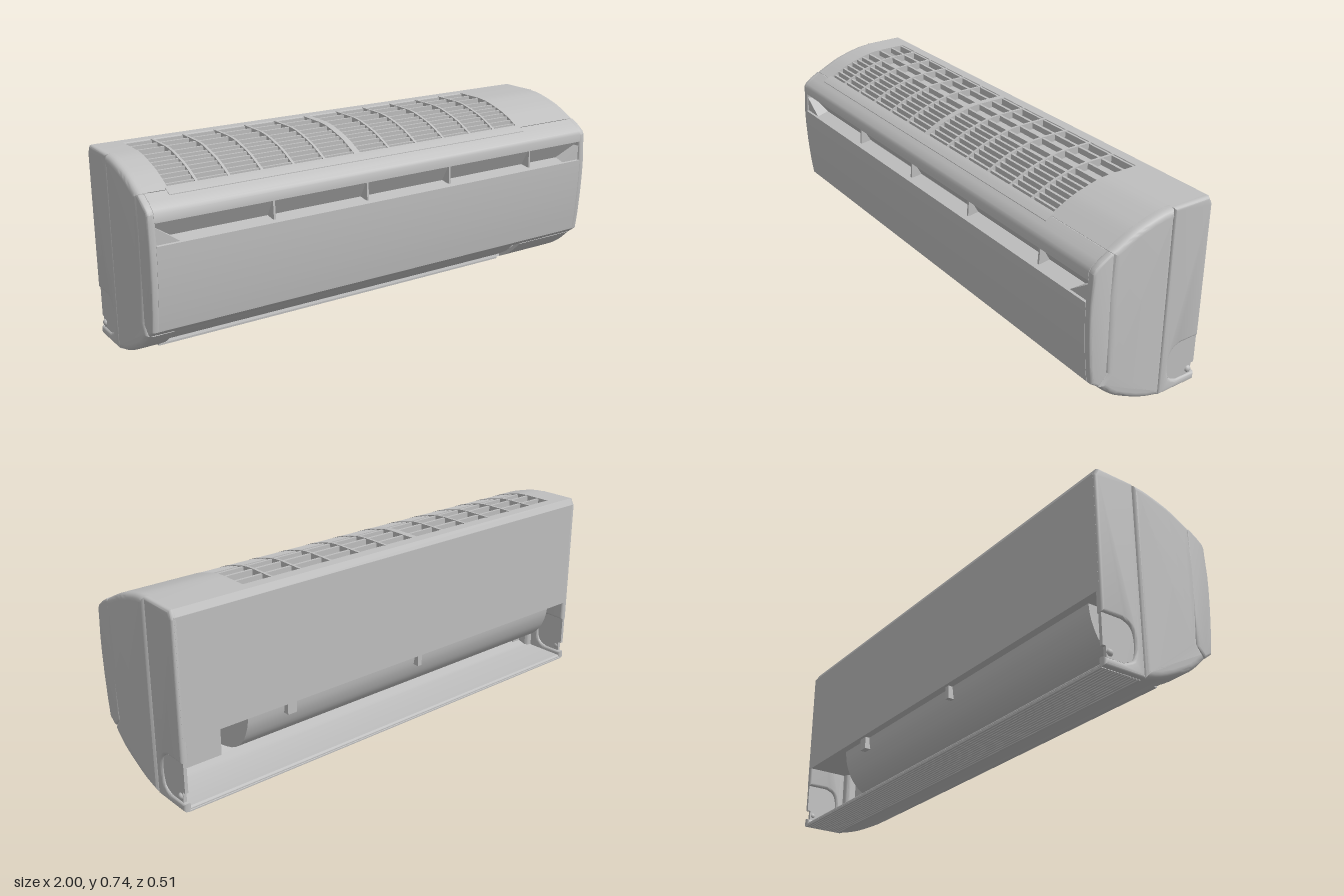
import * as THREE from 'three';
import { toCreasedNormals } from 'three/addons/utils/BufferGeometryUtils.js';

export function createModel() {
  const root = new THREE.Group();
  root.name = 'wallAirConditioner';
  const plastic = new THREE.MeshStandardMaterial({ color: 0xbfbfbf });
  plastic.name = 'grey plastic';

  const add = (name, geometry, parent = root) => {
    const mesh = new THREE.Mesh(geometry, plastic);
    mesh.name = name;
    parent.add(mesh);
    return mesh;
  };
  const group = (name) => {
    const g = new THREE.Group();
    g.name = name;
    root.add(g);
    return g;
  };

  // Extrudes a [z, y] outline along x from x0 to x1
  const prism = (points, x0, x1, bevel = 0) => {
    const shape = new THREE.Shape(points.map(([z, y]) => new THREE.Vector2(-z, y)));
    const geo = new THREE.ExtrudeGeometry(shape, {
      depth: x1 - x0 - 2 * bevel, bevelEnabled: bevel > 0, bevelSize: bevel,
      bevelThickness: bevel, bevelOffset: -bevel, bevelSegments: 4,
    });
    geo.translate(0, 0, x0 + bevel).rotateY(Math.PI / 2);
    return toCreasedNormals(geo, 0.5);
  };
  // Thick skin that follows a [z, y] line, thickened towards the core
  const skin = (points, t, x0, x1) => {
    const inner = points.map(([z, y]) => {
      const dz = -0.03 - z, dy = 0.37 - y, l = Math.hypot(dz, dy);
      return [z + (dz / l) * t, y + (dy / l) * t];
    });
    return prism([...points, ...inner.reverse()], x0, x1);
  };
  const smooth = (points, n) => new THREE.SplineCurve(points.map((p) => new THREE.Vector2(...p)))
    .getPoints(n).map((p) => [p.x, p.y]);
  const box = (name, x0, x1, y0, y1, z0, z1, parent) => {
    const m = add(name, new THREE.BoxGeometry(x1 - x0, y1 - y0, z1 - z0), parent);
    m.position.set((x0 + x1) / 2, (y0 + y1) / 2, (z0 + z1) / 2);
    return m;
  };

  const topArc = smooth([[-0.085, 0.74], [-0.03, 0.735], [0.05, 0.715], [0.1, 0.697], [0.175, 0.66]], 14);
  const lowArc = smooth([[0.2, 0.155], [0.15, 0.108], [0.1, 0.075], [0, 0.027], [-0.085, 0.003]], 14);
  const topY = (z) => {
    if (z <= topArc[0][0]) return 0.74;
    const i = Math.max(1, topArc.findIndex((p) => p[0] >= z));
    const [a, b] = [topArc[i - 1], topArc[i]];
    return a[1] + ((b[1] - a[1]) * (z - a[0])) / (b[0] - a[0]);
  };
  const gx0 = -0.89, gx1 = 0.69;

  // End walls with a rear cable cover on each side
  const frontEnd = [...topArc, [0.183, 0.5], [0.18, 0.4], [0.167, 0.2], ...lowArc];
  const notch = smooth([[-0.17, 0.19], [-0.137, 0.175], [-0.122, 0.14], [-0.122, 0.09], [-0.135, 0.052], [-0.17, 0.035]], 14);
  const rearEnd = [[-0.083, 0.74], [-0.24, 0.74], [-0.255, 0.71], [-0.255, 0.19], ...notch,
    [-0.255, 0.035], [-0.255, 0.003], [-0.083, 0.003]];
  const cover = [[-0.253, 0.19], ...notch, [-0.24, 0.035], [-0.24, 0.075], [-0.253, 0.075]];
  for (const s of [-1, 1]) {
    const span = (a, b) => (s > 0 ? [a, b] : [-b, -a]);
    const g = group(s > 0 ? 'leftEnd' : 'rightEnd');
    add('frontEndWall', prism(frontEnd, ...span(0.94, 1), 0.022), g);
    add('rearEndWall', prism(rearEnd, ...span(0.965, 0.996), 0.012), g);
    add('cableCover', prism(cover, ...span(0.975, 0.988)), g);
    const knob = add('coverKnob', new THREE.SphereGeometry(0.014, 16, 10), g);
    knob.position.set(s * 0.984, 0.055, -0.226);
  }

  // Casing skins: top, bottom, back
  const X = 0.978;
  add('topRearSkin', skin([[-0.255, 0.71], [-0.24, 0.74], [-0.2, 0.74]], 0.015, -X, X));
  const topLine = [[-0.2, 0.74], ...topArc];
  add('topSkinRight', skin(topLine, 0.015, -X, gx0));
  add('topSkinLeft', skin(topLine, 0.015, gx1, X));
  const mouth = lowArc.filter(([z]) => z > 0.045);
  const belly = [...lowArc.slice(mouth.length - 1), [-0.255, 0.006]];
  add('bottomSkin', skin(belly, 0.015, -X, X));
  add('lowerFrontSkinRight', skin(mouth, 0.015, -X, -0.9));
  add('lowerFrontSkinLeft', skin(mouth, 0.015, 0.7, X));
  box('backPanel', -0.985, 0.985, 0.27, 0.715, -0.255, -0.235);

  // Lengthwise ribs under the rear of the casing
  const ribs = group('bottomRibs');
  for (let i = 0; i < 13; i++) {
    const z = -0.092 - i * 0.0128;
    box('bottomRib', -X, X, 0, 0.012, z - 0.008, z, ribs);
  }

  // Fan duct, seen through the open lower back and the front outlet
  const scroll = smooth([[-0.225, 0.275], [-0.215, 0.21], [-0.18, 0.14], [-0.11, 0.09], [0.035, 0.06]], 16);
  add('fanDuct', prism([...scroll, [0.06, 0.13], [0.16, 0.185], [0.16, 0.3], [-0.225, 0.3]], -0.9, 0.7));
  box('electricsWall', 0.7, X, 0.02, 0.3, -0.04, -0.025);
  box('cavityCeiling', -X, X, 0.27, 0.285, -0.24, 0.15);
  box('rightCavityWall', -X, -0.9, 0.03, 0.3, -0.04, -0.025);
  box('ductClipRight', -0.12, -0.1, 0.22, 0.275, -0.243, -0.2);
  box('ductClipLeft', 0.5, 0.54, 0.22, 0.275, -0.243, -0.2);

  // Outlet flap and lip
  add('outletFlap', prism([[0.182, 0.155], [0.135, 0.108], [0.078, 0.075], [0.072, 0.083], [0.13, 0.118], [0.175, 0.163]], -0.885, 0.685));
  box('outletLip', -0.9, 0.7, 0.046, 0.056, 0.02, 0.058);

  // Heat exchanger below the grille
  add('heatExchanger', prism([[-0.235, 0.68], [-0.06, 0.685], [0.03, 0.665], [0.1, 0.635], [0.15, 0.6], [0.15, 0.29], [-0.235, 0.29]], gx0, gx1));

  // Top grille: cross ribs, lengthwise slats, front rim
  const grille = group('topGrille');
  for (const x of [-0.885, -0.77, -0.645, -0.515, -0.385, -0.255, -0.11, 0.035, 0.165, 0.3, 0.435, 0.56, 0.685]) {
    const w = x === -0.11 ? 0.013 : 0.005;
    add('grilleRib', skin(topLine, 0.03, x - w, x + w), grille);
  }
  for (const z of [-0.195, -0.145, -0.085, -0.03, 0.005, 0.03, 0.055, 0.08, 0.103, 0.125, 0.147, 0.168]) {
    const y = topY(z) - 0.003;
    box('grilleSlat', gx0, gx1, y - 0.022, y, z - 0.005, z + 0.005, grille);
  }
  add('grilleRim', prism([[0.16, 0.667], [0.177, 0.662], [0.2, 0.649], [0.2, 0.64], [0.16, 0.645]], gx0, gx1), grille);

  // Front panel with a long intake slot
  const panelTop = [[0.165, 0.655], [0.178, 0.659], [0.215, 0.638], [0.24, 0.619], [0.248, 0.605], [0.249, 0.575]];
  const panelLow = [[0.254, 0.495], [0.254, 0.44], [0.25, 0.35], [0.242, 0.25], [0.233, 0.182], [0.2, 0.157], [0.165, 0.19], [0.165, 0.3]];
  const panel = group('frontPanel');
  add('panelCentre', prism([...panelTop, [0.228, 0.572], [0.19, 0.505], ...panelLow], -0.97, 0.97), panel);
  add('panelEndLeft', prism([...panelTop, ...panelLow], 0.965, 0.996, 0.01), panel);
  add('panelEndRight', prism([...panelTop, ...panelLow], -0.996, -0.965, 0.01), panel);
  for (const x of [-0.51, -0.11, 0.28, 0.7]) {
    add('slotDivider', prism([[0.23, 0.574], [0.185, 0.5], [0.235, 0.5]], x - 0.004, x + 0.004), panel);
  }
  for (const s of [-1, 1]) {
    const wedge = new THREE.Shape([[0.88, 0.497], [0.97, 0.497], [0.97, 0.56]].map(([x, y]) => new THREE.Vector2(s * x, y)));
    add('slotEndWedge', new THREE.ExtrudeGeometry(wedge, { depth: 0.055, bevelEnabled: false }), panel)
      .position.z = 0.19;
  }
  return root;
}
